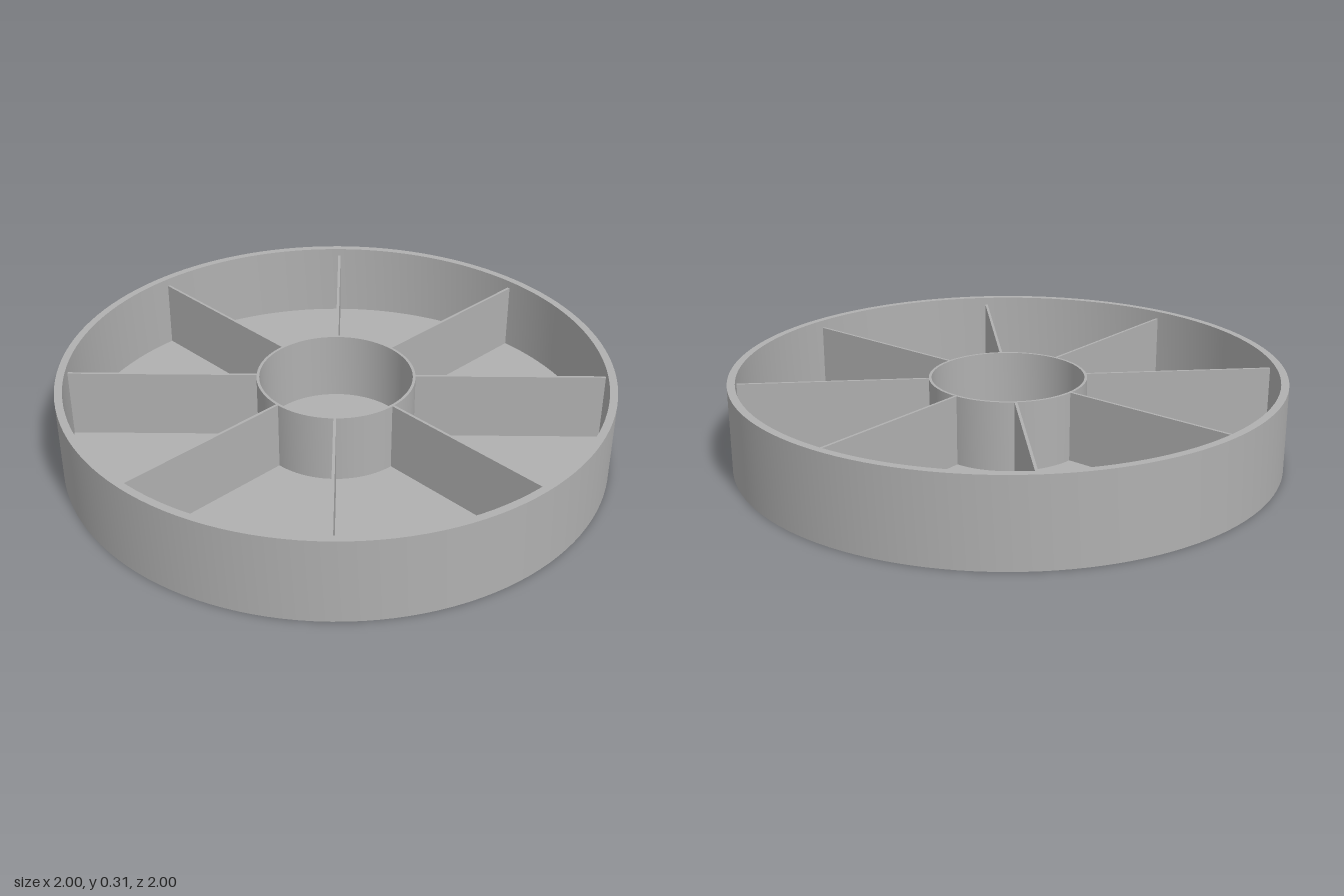
import * as THREE from 'three';
import { toCreasedNormals } from 'three/addons/utils/BufferGeometryUtils.js';

const RIM_TOP = 0.315, FLOOR = 0.03, DIVIDER_TOP = 0.285;
const OUTER = 1, INNER = 0.972, HUB_OUTER = 0.287, HUB_INNER = 0.277;
const DIVIDERS = 8, THICKNESS = 0.01;

// Revolve a sharp-cornered profile, smooth around the axis
function turned(points) {
  const profile = points.map(([r, y]) => new THREE.Vector2(r, y));
  return toCreasedNormals(new THREE.LatheGeometry(profile, 128), 0.5);
}

export function createModel() {
  const grey = new THREE.MeshStandardMaterial({ color: 0xb0b0b0 });
  grey.name = 'plain grey';
  const group = new THREE.Group();
  group.name = 'dividedRoundTray';

  const add = (name, geometry) => {
    const mesh = new THREE.Mesh(geometry, grey);
    mesh.name = name;
    group.add(mesh);
    return mesh;
  };

  // Closed floor and outer wall
  add('tray', turned([
    [0, 0], [OUTER, 0], [OUTER, RIM_TOP], [INNER, RIM_TOP], [INNER, FLOOR], [0, FLOOR],
  ]));

  // Central round compartment, slightly lower than the rim
  add('hub', turned([
    [HUB_OUTER, FLOOR], [HUB_OUTER, DIVIDER_TOP], [HUB_INNER, DIVIDER_TOP], [HUB_INNER, FLOOR],
  ]));

  // Radial dividers from hub to wall, ends sunk just into both
  const start = HUB_OUTER - 0.004, end = INNER + 0.004;
  const height = DIVIDER_TOP - FLOOR;
  const plate = new THREE.BoxGeometry(end - start, height, THICKNESS);
  plate.translate((start + end) / 2, FLOOR + height / 2, 0);
  for (let i = 0; i < DIVIDERS; i++) {
    add(`divider${i + 1}`, plate).rotation.y = (i / DIVIDERS) * Math.PI * 2;
  }

  return group;
}
